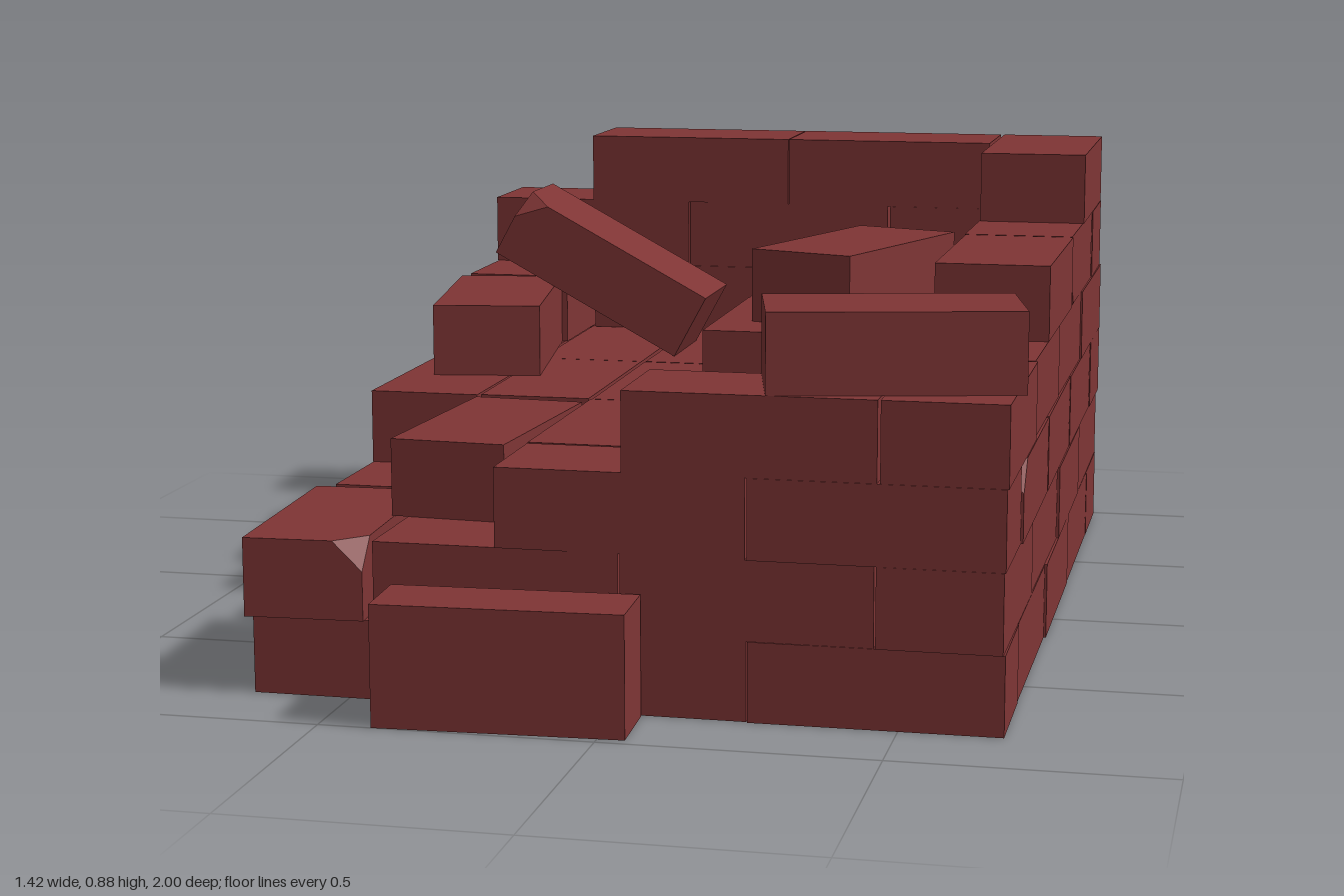
import * as THREE from 'three';
import { ConvexGeometry } from 'three/addons/geometries/ConvexGeometry.js';

const CELL = 0.2285, X0 = -0.683, Z0 = -0.995;   // half-brick grid
const L = 0.452, H = 0.146, W = 0.222;           // brick size

// Small seeded random in -1..1 for hand-laid irregularity
let seed = 7;
function rnd() {
  seed = (seed * 16807) % 2147483647;
  return (seed / 2147483647) * 2 - 1;
}

// Brick with one corner knocked off; c gives the signs of that corner
function chippedBrick(c, size = 0.055) {
  const half = [L / 2, H / 2, W / 2], pts = [];
  for (const x of [-1, 1]) for (const y of [-1, 1]) for (const z of [-1, 1]) {
    const s = [x, y, z], p = s.map((v, a) => v * half[a]);
    if (s.every((v, a) => v === c[a])) {
      for (let a = 0; a < 3; a++) {
        const q = p.slice();
        q[a] -= s[a] * size;
        pts.push(new THREE.Vector3(...q));
      }
    } else pts.push(new THREE.Vector3(...p));
  }
  return new ConvexGeometry(pts);
}

export function createModel() {
  seed = 7;
  const model = new THREE.Group();
  const mat = new THREE.MeshStandardMaterial({ color: 0x7f3535 });
  mat.name = 'brickRed';
  const plain = new THREE.BoxGeometry(L, H, W);

  function brick(parent, name, pos, rot, geo = plain) {
    const m = new THREE.Mesh(geo, mat);
    m.name = name;
    m.position.set(...pos);
    m.rotation.set(...rot);
    parent.add(m);
  }

  function group(name) {
    const g = new THREE.Group();
    g.name = name;
    model.add(g);
    return g;
  }

  // Brick on the grid: cell column i, cell row k, course n, lying along x or z
  function lay(parent, name, i, k, n, alongX, geo) {
    const x = X0 + (i + (alongX ? 1 : 0.5)) * CELL + rnd() * 0.003;
    const z = Z0 + (k + (alongX ? 0.5 : 1)) * CELL + rnd() * 0.003;
    const turn = (alongX ? 0 : -Math.PI / 2) + rnd() * 0.006;
    brick(parent, name, [x, (n + 0.5) * H, z], [0, turn, 0], geo);
  }

  // Walls: starting cells of the bricks in each course, bottom to top
  const back = [[0, 2, 4], [1, 3], [0, 2, 4], [1, 3], [0, 2, 4], [1, 3]];
  const front = [[0, 2, 4], [1, 3], [2, 4], [3]];
  const leftSide = [[1, 3, 5], [0, 2, 4, 6], [1, 3, 5], [0, 2, 4, 6], [1, 3], [0]];
  const rightSide = [[1, 3, 5], [0, 2, 4], [1, 3], [0]];
  const chips = {
    '2,5': chippedBrick([1, 1, -1]),
    '4,1': chippedBrick([1, -1, -1]),
  };

  const backWall = group('backWall'), frontWall = group('frontWall');
  const leftWall = group('leftWall'), rightWall = group('rightWall');
  back.forEach((row, n) => row.forEach(i => lay(backWall, 'backWallBrick', i, 0, n, true)));
  front.forEach((row, n) => row.forEach(i => lay(frontWall, 'frontWallBrick', i, 7, n, true)));
  leftSide.forEach((row, n) => row.forEach(k => lay(leftWall, 'leftWallBrick', 5, k, n, false, chips[`${n},${k}`])));
  rightSide.forEach((row, n) => row.forEach(k => lay(rightWall, 'rightWallBrick', 0, k, n, false)));

  // Core: stacked from the second course up to the given number of courses
  const core = group('core');
  const coreTop = [[3, 3, 4, 4], [3, 3, 4, 4], [2, 3, 3, 3]];
  coreTop.forEach((row, r) => row.forEach((top, c) => {
    for (let n = 1; n < top; n++) lay(core, 'coreBrick', c + 1, 1 + r * 2, n, false);
  }));

  // Loose bricks lying on the steps
  const loose = group('looseBricks');
  const onCourse = n => (n + 0.5) * H;
  brick(loose, 'looseFrontBrick', [0.46, onCourse(4), 0.675], [0, 0.224, 0]);
  brick(loose, 'looseCoreBrick', [0.255, onCourse(4), -0.165], [0, 1.235, 0]);
  brick(loose, 'looseSideBrick', [-0.54, onCourse(3), -0.3], [0, -1.41, 0]);
  brick(loose, 'looseInnerBrick', [-0.358, onCourse(2), 0.4], [0, -1.637, 0]);
  brick(loose, 'looseCornerBrick', [-0.59, onCourse(1), 0.616], [0, -1.526, 0], chippedBrick([1, 1, -1]));
  // Brick standing on its long edge on the ground
  brick(loose, 'groundBrick', [-0.18, W / 2, 0.917], [Math.PI / 2, 0, -0.045], plain);
  // Brick leaning from the side wall down to the core
  brick(loose, 'leaningBrick', [-0.34, 0.61, -0.5], [0, 0, -0.497], chippedBrick([-1, 1, 1]));

  return model;
}
